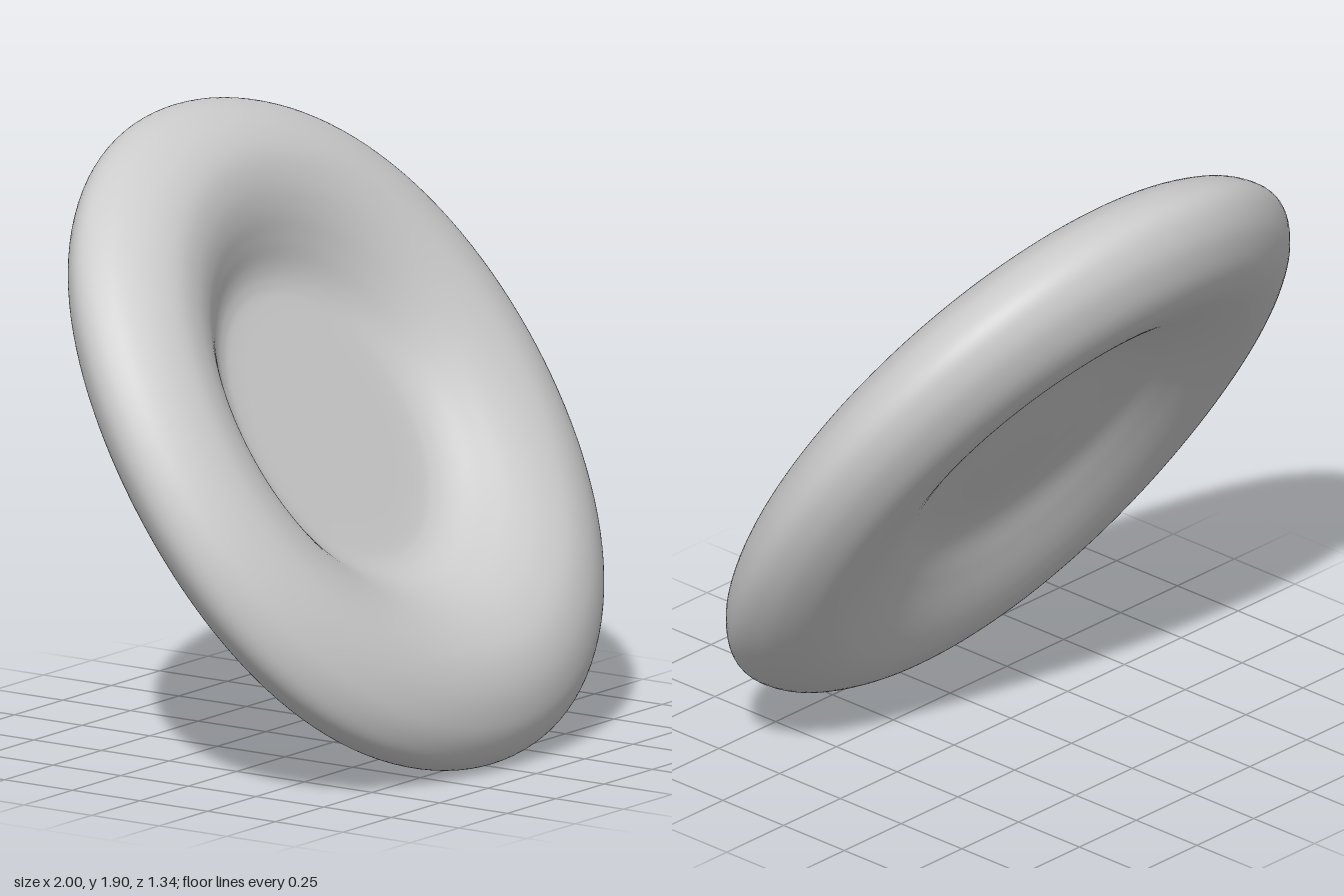
import * as THREE from 'three';
import { mergeVertices } from 'three/addons/utils/BufferGeometryUtils.js';

const TILT = THREE.MathUtils.degToRad(33);

// Half section from the back centre, round the rim, to the front centre: [radius, height]
const section = [
  [0, -0.055], [0.18, -0.054], [0.32, -0.055], [0.42, -0.073], [0.52, -0.115], [0.61, -0.152], [0.69, -0.176],
  [0.77, -0.187], [0.86, -0.167], [0.94, -0.115], [0.985, -0.055], [1, 0], [0.985, 0.055], [0.94, 0.115],
  [0.86, 0.167], [0.77, 0.188], [0.68, 0.174], [0.6, 0.138], [0.53, 0.088], [0.47, 0.04], [0.42, 0.015],
  [0.36, 0.006], [0.2, 0.005], [0, 0.005],
];

function discGeometry() {
  const curve = new THREE.SplineCurve(section.map(([r, h]) => new THREE.Vector2(r, h)));
  const points = curve.getPoints(138);
  points.forEach((p) => { p.x = Math.max(p.x, 0); });
  let geo = new THREE.LatheGeometry(points, 128);

  // Slightly oval and squarish outline, with a thinner, forward-bowed rim at the two sides
  const pos = geo.attributes.position;
  for (let i = 0; i < pos.count; i++) {
    const x = pos.getX(i), h = pos.getY(i), z = pos.getZ(i);
    const r = Math.hypot(x, z);
    const side = r > 1e-6 ? (x / r) ** 2 : 0.5;
    const swell = 1 + 0.075 * side * (1 - side) * r * r;
    const rim = THREE.MathUtils.smoothstep(r, 0.3, 0.8);
    const inner = 1 - THREE.MathUtils.smoothstep(r, 0.3, 0.9);
    const thick = 1 + rim * (0.03 - 0.09 * side);
    pos.setXYZ(
      i,
      x * swell - 0.02 * inner,
      h * thick + 0.02 * rim * side,
      z * 1.11 * swell - 0.035 * inner,
    );
  }

  // Stand the disc up and lean it back
  geo.rotateX(Math.PI / 2 - TILT);
  geo.deleteAttribute('normal');
  geo.deleteAttribute('uv');
  geo = mergeVertices(geo, 1e-5);
  geo.computeVertexNormals();

  // Centre it and rest it on the ground
  geo.computeBoundingBox();
  const box = geo.boundingBox;
  const c = box.getCenter(new THREE.Vector3());
  geo.translate(-c.x, -box.min.y, -c.z);
  return geo;
}

export function createModel() {
  const group = new THREE.Group();
  group.name = 'dimpledDisc';
  const disc = new THREE.Mesh(discGeometry(), new THREE.MeshStandardMaterial({ color: 0xcccccc }));
  disc.name = 'disc';
  group.add(disc);
  return group;
}
